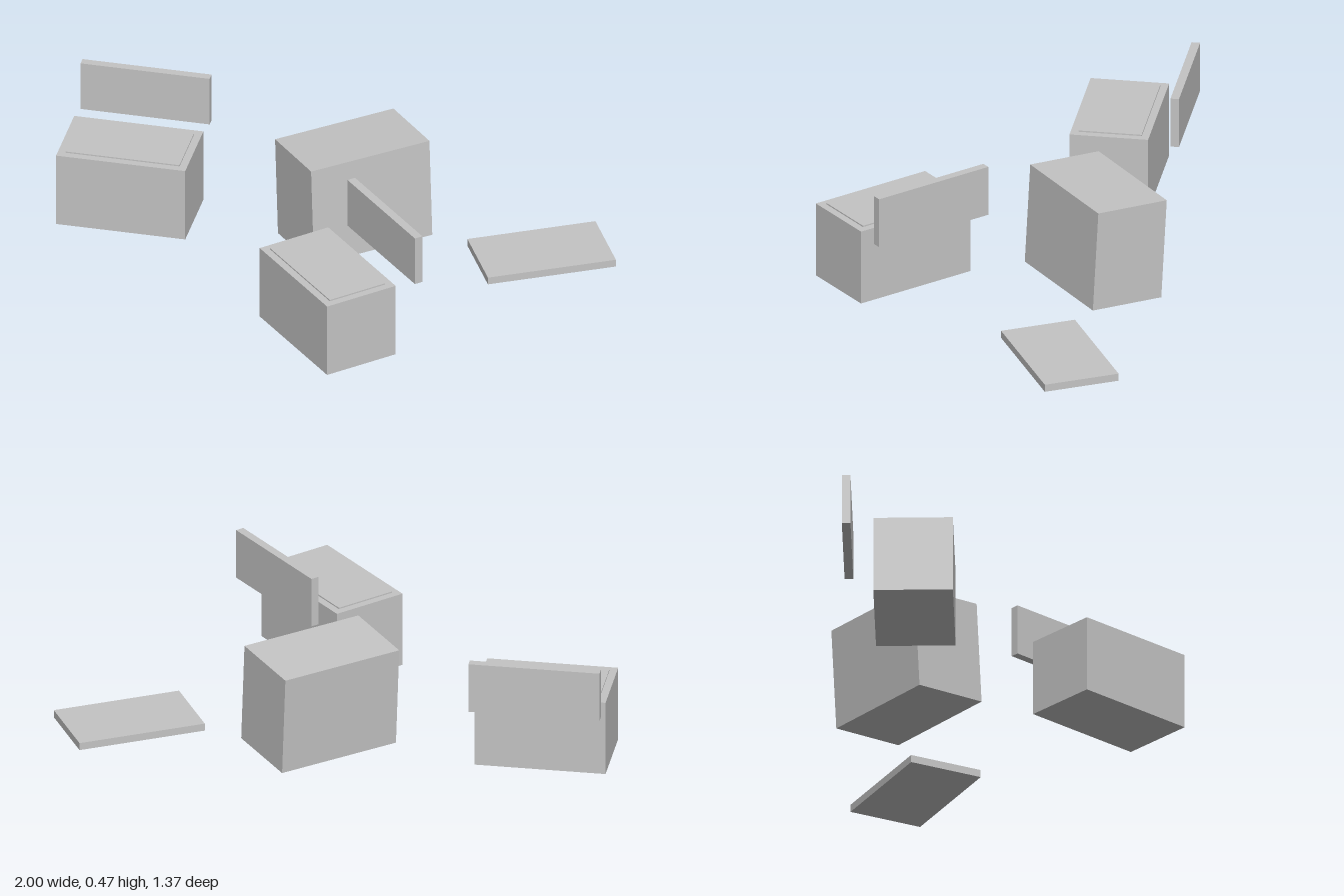
import * as THREE from 'three';

export function createModel() {
  const model = new THREE.Group();
  model.name = 'crates';
  const grey = new THREE.MeshStandardMaterial({ color: 0xc4c4c4 });
  grey.name = 'light grey';

  const box = (parent, name, size, position) => {
    const mesh = new THREE.Mesh(new THREE.BoxGeometry(...size), grey);
    mesh.name = name;
    mesh.position.set(...position);
    parent.add(mesh);
    return mesh;
  };

  // Two crates with a raised top plate, each with an upright panel behind
  const crates = [
    { side: 'right', at: [-0.7, 0.06], panelAt: [-0.768, -0.17], turn: 0.304 },
    { side: 'left', at: [0.349, 0.441], panelAt: [0.463, 0.231], turn: -0.503 },
  ];
  for (const { side, at, panelAt, turn } of crates) {
    const crate = new THREE.Group();
    crate.name = side + 'Crate';
    crate.position.set(at[0], 0, at[1]);
    crate.rotation.y = turn;
    box(crate, 'crateBody', [0.475, 0.285, 0.285], [0, 0.1545, 0]);
    box(crate, 'topPlate', [0.42, 0.005, 0.23], [0, 0.2995, 0]);
    model.add(crate);
    box(model, side + 'Panel', [0.475, 0.19, 0.031], [panelAt[0], 0.374, panelAt[1]]).rotation.y = turn;
  }

  // Taller crate, tipped slightly about its long side
  const tall = box(model, 'tiltedCrate', [0.475, 0.38, 0.286], [0.062, 0.2, -0.227]);
  tall.rotation.set(-0.06, 1.003, 0, 'YXZ');

  // Loose lid lying near the ground
  box(model, 'looseLid', [0.475, 0.028, 0.28], [0.731, 0.031, -0.418]).rotation.y = 0.8;

  return model;
}
